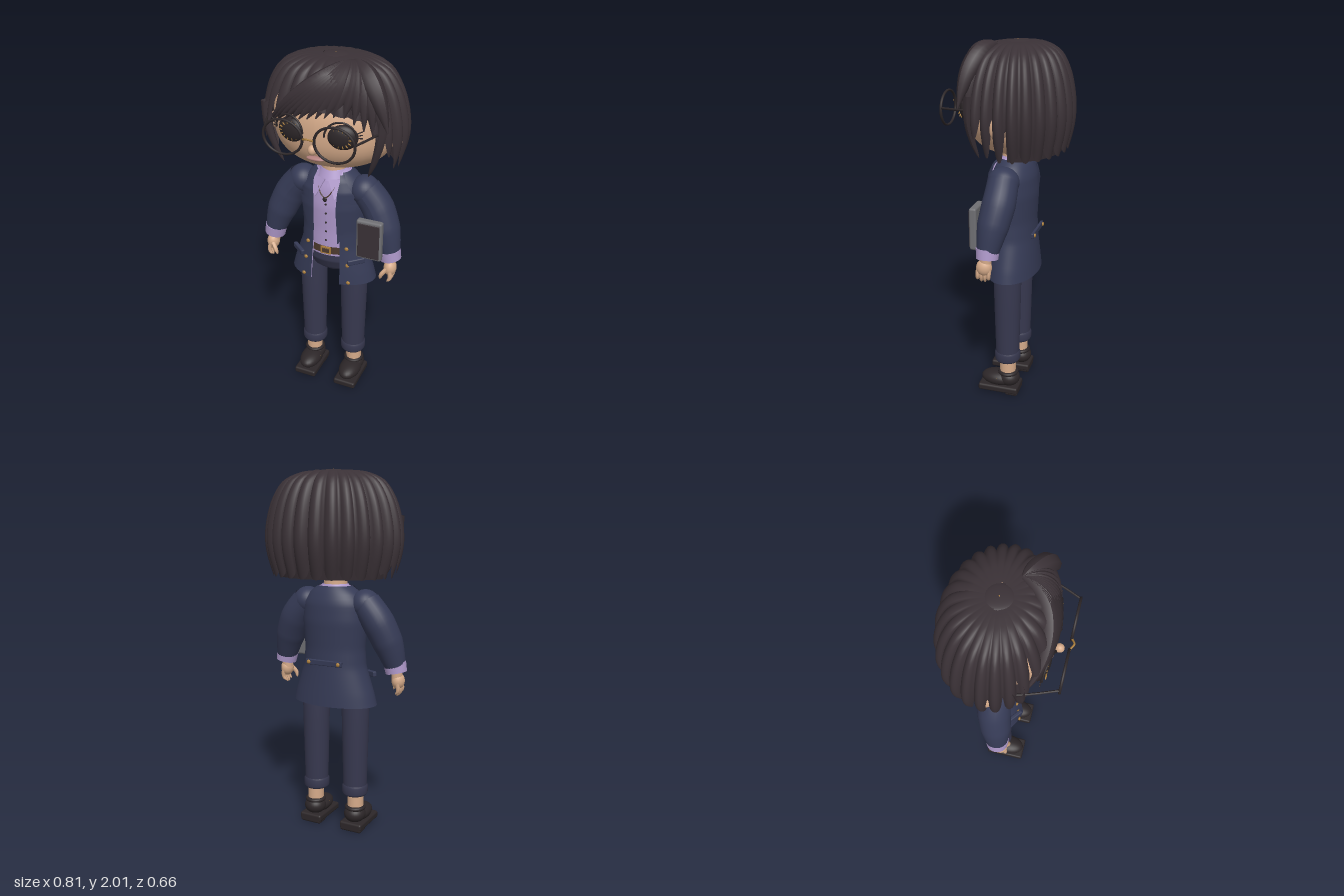
import * as THREE from 'three';
import { RoundedBoxGeometry } from 'three/addons/geometries/RoundedBoxGeometry.js';

const V = (x, y, z) => new THREE.Vector3(x, y, z);
const lerp = THREE.MathUtils.lerp;
const mat = (name, color) => {
  const m = new THREE.MeshStandardMaterial({ color, side: THREE.DoubleSide });
  m.name = name;
  return m;
};

// piecewise linear lookup: rows of [key, a, b, ...]
function lookup(rows, k) {
  if (k <= rows[0][0]) return rows[0];
  for (let i = 1; i < rows.length; i++) {
    const a = rows[i - 1], b = rows[i];
    if (k <= b[0]) return a.map((n, j) => lerp(n, b[j], (k - a[0]) / (b[0] - a[0])));
  }
  return rows[rows.length - 1];
}

// surface grid from fn(u, v) => [x, y, z]
function grid(nu, nv, fn, flip = false) {
  const pos = [], idx = [];
  for (let j = 0; j <= nv; j++) for (let i = 0; i <= nu; i++) pos.push(...fn(i / nu, j / nv));
  for (let j = 0; j < nv; j++) for (let i = 0; i < nu; i++) {
    const a = j * (nu + 1) + i, b = a + 1, c = a + nu + 1, d = c + 1;
    if (flip) idx.push(a, c, b, b, c, d); else idx.push(a, b, c, b, d, c);
  }
  const g = new THREE.BufferGeometry();
  g.setAttribute('position', new THREE.Float32BufferAttribute(pos, 3));
  g.setIndex(idx);
  g.computeVertexNormals();
  return g;
}

// tube whose radius follows radius(u)
function taperTube(points, radius, seg = 16, sides = 12) {
  const curve = new THREE.CatmullRomCurve3(points);
  const g = new THREE.TubeGeometry(curve, seg, 1, sides);
  const p = g.attributes.position, v = V();
  for (let i = 0; i < p.count; i++) {
    const u = Math.floor(i / (sides + 1)) / seg, c = curve.getPointAt(u);
    v.fromBufferAttribute(p, i).sub(c).multiplyScalar(radius(u)).add(c);
    p.setXYZ(i, v.x, v.y, v.z);
  }
  g.computeVertexNormals();
  return g;
}

export function createModel() {
  const root = new THREE.Group();
  const hair = mat('hair', 0x3a3136), skin = mat('skin', 0xd6ab8a), navy = mat('jacket', 0x353a55);
  const lilac = mat('shirt', 0xae98ca), pants = mat('trousers', 0x37384f), gold = mat('gold', 0xa97d3c);
  const black = mat('black', 0x2c2628), grey = mat('grey', 0x6f6f73), brown = mat('belt', 0x4d3a2e);
  const lips = mat('lips', 0xb07f7c);
  const add = (name, geo, m, x = 0, y = 0, z = 0, parent = root) => {
    const o = new THREE.Mesh(geo, m);
    o.name = name;
    o.position.set(x, y, z);
    parent.add(o);
    return o;
  };
  const ball = (name, m, x, y, z, a, b, c) => {
    const o = add(name, new THREE.SphereGeometry(1, 28, 20), m, x, y, z);
    o.scale.set(a, b, c);
    return o;
  };
  const box = (name, m, w, h, d, x, y, z) => add(name, new RoundedBoxGeometry(w, h, d, 2, Math.min(w, h, d) * 0.3), m, x, y, z);

  // head: slightly squared egg
  add('head', grid(40, 28, (u, v) => {
    const t = -Math.cos(v * Math.PI), r = Math.pow(Math.max(0, 1 - Math.abs(t) ** 2.5), 0.4), a = u * 2 * Math.PI;
    return [0.33 * r * Math.sin(a), 1.66 + 0.235 * t, -0.03 + 0.265 * r * Math.cos(a)];
  }), skin);
  add('neck', new THREE.CylinderGeometry(0.062, 0.068, 0.16, 24), skin, 0, 1.38, -0.005);
  ball('nose', skin, 0, 1.595, 0.262, 0.022, 0.026, 0.024);
  ball('mouth', lips, 0, 1.535, 0.225, 0.05, 0.011, 0.02);

  // hair dome profile (radius factor, height), crown to bottom
  const profile = new THREE.SplineCurve([[0.17, 1.992], [0.32, 1.99], [0.5, 1.98], [0.72, 1.94], [0.87, 1.86],
    [0.96, 1.76], [1, 1.65], [0.97, 1.55], [0.88, 1.44]].map(p => new THREE.Vector2(...p)));
  const vAt = y => 0.5 + (1.86 - y) / 0.84;
  const dome = (a, v, k = 1) => {
    const p = profile.getPoint(Math.min(1, v));
    return [0.39 * p.x * k * Math.sin(a), p.y, -0.03 + 0.3 * p.x * k * Math.cos(a)];
  };
  const hem = [[0, 1.79], [0.65, 1.75], [0.85, 1.66], [1.05, 1.56], [1.3, 1.47], [1.6, 1.44], [3.2, 1.44]];
  add('hairLocks', grid(26 * 8, 26, (u, t) => {
    const a = (u * 2 - 1) * Math.PI, s = Math.abs(a), lobe = Math.abs(Math.sin(13 * a)) ** 0.7;
    const tip = s < 0.7 ? 0 : s < 1.9 ? 0.17 : 0.06;
    const v = t * vAt(lookup(hem, s)[1] + tip * (1 - lobe));
    return dome(a, v, 1 - 0.1 * (1 - lobe) * Math.min(1, 0.3 + v * 2));
  }, true), hair);
  add('hairBackLayer', grid(48, 20, (u, t) => dome(lerp(1.7, 2 * Math.PI - 1.7, u), t, 0.9), true), hair);
  ball('crown', hair, 0, 1.987, -0.027, 0.068, 0.012, 0.068);
  ball('crownPin', gold, 0, 1.997, -0.027, 0.004, 0.003, 0.004);

  // fringe locks sweep from a side parting
  const lock = (a1, y1, r, k0, k1) => {
    const pts = [];
    for (let i = 0; i <= 6; i++) {
      const t = i / 6;
      pts.push(V(...dome(lerp(0.85, a1, t ** 0.8), lerp(0.2, vAt(y1), t), lerp(k0, k1, t))));
    }
    add('fringeLock', taperTube(pts, u => r * Math.max(0.03, Math.sin(Math.PI * (0.06 + 0.92 * u ** 0.75))), 18, 8), hair);
  };
  for (let i = 0; i < 10; i++) lock(lerp(-0.85, 0.28, i / 9), lerp(1.67, 1.76, (i / 9) ** 0.7), 0.042, 0.92, 0.95);
  for (let i = 0; i < 5; i++) lock(lerp(0.42, 0.95, i / 4), lerp(1.76, 1.64, i / 4), 0.042, 0.92, 0.97);
  lock(0.92, 1.7, 0.05, 0.95, 1.14);

  // jacket body rows: y, half width, half depth, half opening
  const body = [[0.74, 0.25, 0.145, 0.085], [0.8, 0.235, 0.14, 0.085], [0.95, 0.185, 0.127, 0.08], [1.05, 0.177, 0.123, 0.075],
    [1.2, 0.188, 0.13, 0.07], [1.3, 0.18, 0.122, 0.075], [1.36, 0.14, 0.1, 0.08], [1.39, 0.095, 0.078, 0.07]];
  const shell = (inset, flip) => grid(56, 30, (u, v) => {
    const [y, rx, rz, gap] = lookup(body, lerp(0.74, 1.39, v)), g = Math.asin(gap / rx), a = lerp(g, 2 * Math.PI - g, u);
    return [(rx - inset) * Math.sin(a), y, -0.01 + (rz - inset) * Math.cos(a)];
  }, flip);
  add('jacket', shell(0, false), navy);
  add('jacketLining', shell(0.006, true), lilac);
  const front = (x, y) => {
    const [, rx, rz] = lookup(body, y);
    return -0.01 + rz * Math.sqrt(Math.max(0, 1 - (x / rx) ** 2));
  };

  // shirt, belt and hips as elliptical rings
  const rings = (name, rows, m) => add(name, grid(40, 20, (u, v) => {
    const [y, rx, rz] = lookup(rows, lerp(rows[0][0], rows[rows.length - 1][0], v)), a = u * 2 * Math.PI;
    return [rx * Math.sin(a), y, -0.01 + rz * Math.cos(a)];
  }), m);
  rings('shirt', [[0.89, 0.155, 0.112], [1.05, 0.15, 0.11], [1.2, 0.16, 0.118], [1.3, 0.155, 0.108], [1.36, 0.11, 0.085], [1.4, 0.07, 0.068]], lilac);
  rings('belt', [[0.915, 0.162, 0.119], [0.96, 0.162, 0.119]], brown);
  rings('hips', [[0.77, 0.05, 0.05], [0.8, 0.13, 0.085], [0.86, 0.162, 0.113], [0.9, 0.157, 0.113]], pants);
  box('buckle', gold, 0.06, 0.045, 0.008, 0, 0.937, 0.112);
  box('buckleCentre', brown, 0.04, 0.026, 0.008, 0, 0.937, 0.115);
  for (let i = 0; i < 5; i++) ball('shirtButton', black, 0, 1.22 - i * 0.055, 0.108, 0.006, 0.006, 0.004);
  add('necklace', new THREE.TubeGeometry(new THREE.CatmullRomCurve3([V(-0.06, 1.36, 0.075), V(-0.035, 1.3, 0.11),
    V(0, 1.265, 0.12), V(0.035, 1.3, 0.11), V(0.06, 1.36, 0.075)]), 20, 0.003, 6), brown);
  ball('pendant', black, 0, 1.255, 0.12, 0.012, 0.014, 0.006);
  add('collarBand', new THREE.CylinderGeometry(0.07, 0.095, 0.05, 28, 1, true), lilac, 0, 1.375, -0.005);

  // back strap
  box('backStrap', navy, 0.22, 0.03, 0.016, 0, 0.98, -0.139);

  // tablet under the left arm
  box('tablet', grey, 0.142, 0.23, 0.04, 0.257, 1.072, 0.122);
  box('tabletScreen', hair, 0.12, 0.2, 0.008, 0.257, 1.07, 0.142);

  // glasses bridge
  add('glassesBridge', new THREE.TubeGeometry(new THREE.CatmullRomCurve3([V(-0.028, 1.665, 0.31), V(0, 1.675, 0.325), V(0.028, 1.665, 0.31)]), 10, 0.005, 8), gold);

  const lapel = [[1.0, 0.078], [1.23, 0.165], [1.25, 0.125], [1.275, 0.155], [1.385, 0.085]];
  for (const s of [-1, 1]) {
    // eyes, lashes and glasses
    ball('eye', black, s * 0.135, 1.662, 0.205, 0.076, 0.064, 0.035).rotation.y = s * 0.2;
    for (let i = 0; i < 14; i++) {
      const a = i / 14 * Math.PI * 2;
      box('irisSpoke', gold, 0.016, 0.004, 0.006, s * 0.135 + 0.05 * Math.cos(a), 1.662 + 0.042 * Math.sin(a), 0.232).rotation.z = a;
    }
    const lid = add('eyelid', new THREE.TorusGeometry(0.08, 0.005, 8, 24, Math.PI), black, s * 0.135, 1.667, 0.235);
    lid.rotation.y = s * 0.2;
    for (let i = 0; i < 3; i++) box('lash', black, 0.035, 0.005, 0.005, s * 0.225, 1.675 + i * 0.014, 0.215).rotation.z = s * (0.1 + i * 0.2);
    add('glassesRim', new THREE.TorusGeometry(0.104, 0.007, 10, 48), black, s * 0.135, 1.66, 0.308).scale.y = 0.85;
    add('glassesTemple', taperTube([V(s * 0.238, 1.675, 0.303), V(s * 0.28, 1.68, 0.2), V(s * 0.31, 1.685, 0.11), V(s * 0.33, 1.67, -0.02)], () => 0.006, 12, 8), black);
    ball('ear', skin, s * 0.345, 1.61, -0.02, 0.025, 0.055, 0.04);
    add('sideStrand', taperTube([V(s * 0.31, 1.76, 0.13), V(s * 0.3, 1.63, 0.14), V(s * 0.27, 1.52, 0.13), V(s * 0.235, 1.43, 0.11)],
      u => 0.03 * (1 - u) ** 0.6 + 0.001, 14, 8), hair);

    // collar point and lapel
    const c = [[0.008, 1.365], [0.085, 1.375], [0.105, 1.31], [0.055, 1.265]].map(p => new THREE.Vector2(s * p[0], p[1] - 1.32));
    const collar = add('collarPoint', new THREE.ExtrudeGeometry(new THREE.Shape(c), { depth: 0.006, bevelEnabled: false }), lilac, 0, 1.32, 0.108);
    collar.rotation.set(-0.4, s * 0.25, 0);
    add('lapel', grid(10, 40, (u, v) => {
      const y = lerp(1.0, 1.385, v), x = lerp(lookup(body, y)[3] - 0.006, lookup(lapel, y)[1], u);
      return [s * x, y, front(x, y) + 0.016];
    }, s < 0), navy);

    // pocket flap, coat buttons, strap button
    box('pocketFlap', navy, 0.1, 0.032, 0.022, s * 0.172, 0.895, 0.092).rotation.set(0, s * 0.65, s * 0.08);
    for (const [x, y] of [[0.115, 0.96], [0.125, 0.86], [0.135, 0.755]]) ball('coatButton', gold, s * x, y, front(x, y) + 0.004, 0.011, 0.011, 0.007);
    ball('strapButton', gold, s * 0.09, 0.98, -0.149, 0.011, 0.011, 0.007);

    // sleeve, cuff and hand
    ball('shoulder', navy, s * 0.178, 1.295, 0, 0.08, 0.08, 0.085);
    const sleeve = [[0, 0.082], [0.35, 0.088], [0.65, 0.083], [1, 0.058]];
    add('sleeve', taperTube([V(s * 0.18, 1.3, 0), V(s * 0.25, 1.21, 0), V(s * 0.31, 1.08, 0.02), V(s * 0.345, 0.965, 0.035)],
      u => lookup(sleeve, u)[1], 20, 24), navy);
    add('shirtCuff', new THREE.CylinderGeometry(0.062, 0.058, 0.055, 24), lilac, s * 0.345, 0.958, 0.036).rotation.z = s * 0.2;
    add('wrist', new THREE.CylinderGeometry(0.03, 0.03, 0.06, 16), skin, s * 0.35, 0.92, 0.045);
    ball('hand', skin, s * 0.355, 0.882, 0.052, 0.035, 0.046, 0.042);
    for (let i = 0; i < 4; i++) {
      const z = 0.022 + i * 0.02;
      add('finger', taperTube([V(s * 0.362, 0.875, z), V(s * 0.365, 0.83, z + 0.004), V(s * 0.35, 0.797 + (i % 3 ? 0 : 0.012), z + 0.006)],
        u => 0.012 * Math.sqrt(1.02 - u ** 3), 10, 8), skin);
    }
    add('thumb', taperTube([V(s * 0.345, 0.885, 0.08), V(s * 0.32, 0.85, 0.095), V(s * 0.312, 0.82, 0.092)], u => 0.013 * Math.sqrt(1.02 - u ** 3), 10, 8), skin);

    // trouser leg with turned-up cuff
    add('trouserLeg', new THREE.LatheGeometry([[0.066, 0.22], [0.068, 0.3], [0.074, 0.55], [0.078, 0.75], [0.07, 0.86]].map(p => new THREE.Vector2(...p)), 28),
      pants, s * 0.125, 0, -0.005);
    add('trouserCuff', new THREE.LatheGeometry([[0.05, 0.215], [0.066, 0.208], [0.073, 0.22], [0.073, 0.258], [0.066, 0.27]].map(p => new THREE.Vector2(...p)), 28),
      pants, s * 0.125, 0, -0.005);
    add('ankle', new THREE.CylinderGeometry(0.046, 0.046, 0.13, 20), skin, s * 0.13, 0.17, -0.008);

    // shoe
    ball('shoeUpper', black, s * 0.13, 0.08, 0.045, 0.064, 0.045, 0.105);
    ball('shoeBack', black, s * 0.13, 0.09, -0.015, 0.062, 0.05, 0.063);
    add('shoeOpening', new THREE.TorusGeometry(0.048, 0.012, 10, 24), black, s * 0.13, 0.128, -0.01).rotation.x = Math.PI / 2;
    box('sole', black, 0.136, 0.04, 0.235, s * 0.13, 0.032, 0.038);
    box('heel', black, 0.13, 0.04, 0.075, s * 0.13, 0.02, -0.042);
    add('shoeTrim', new THREE.TubeGeometry(new THREE.CatmullRomCurve3([V(s * 0.13 - 0.056, 0.098, 0.045), V(s * 0.13 - 0.035, 0.108, 0.085),
      V(s * 0.13, 0.112, 0.1), V(s * 0.13 + 0.035, 0.108, 0.085), V(s * 0.13 + 0.056, 0.098, 0.045)]), 16, 0.003, 6), gold);
  }
  return root;
}
